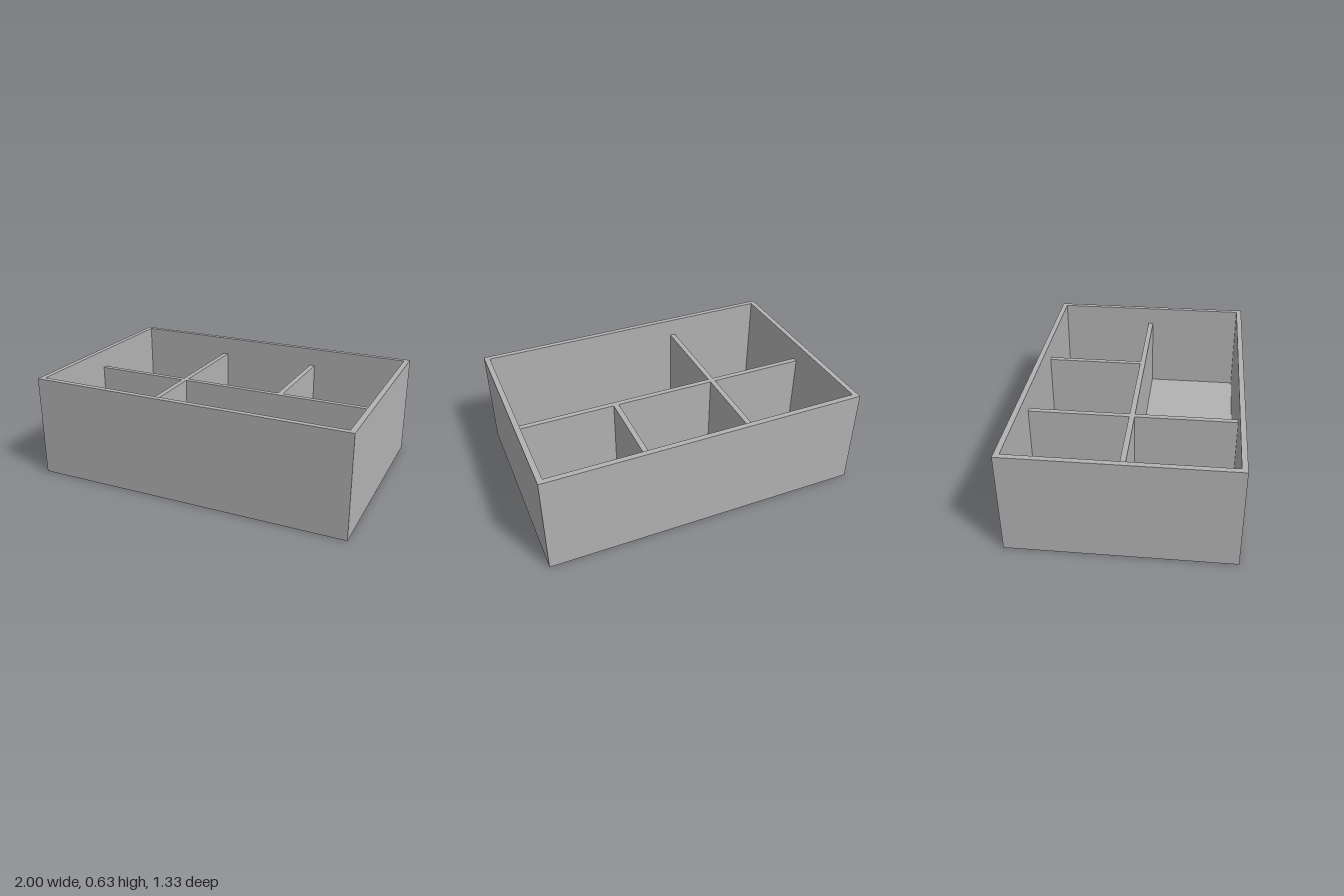
import * as THREE from 'three';

const W = 2, D = 1.333, H = 0.633; // outer size
const T = 0.033;                   // wall, floor and divider thickness
const DIVIDER_TOP = 0.515;         // dividers stop below the rim

export function createModel() {
  const group = new THREE.Group();
  const grey = new THREE.MeshStandardMaterial({ color: 0xb2b2b2 });
  grey.name = 'grey';

  const add = (name, geometry, x, y, z) => {
    const mesh = new THREE.Mesh(geometry, grey);
    mesh.name = name;
    mesh.position.set(x, y, z);
    group.add(mesh);
    return mesh;
  };

  const rectangle = (w, d, Kind) => new Kind([
    new THREE.Vector2(-w / 2, -d / 2), new THREE.Vector2(w / 2, -d / 2),
    new THREE.Vector2(w / 2, d / 2), new THREE.Vector2(-w / 2, d / 2),
  ]);

  // Four outer walls as one rectangular frame
  const frame = rectangle(W, D, THREE.Shape);
  frame.holes.push(rectangle(W - 2 * T, D - 2 * T, THREE.Path));
  const walls = new THREE.ExtrudeGeometry(frame, { depth: H, bevelEnabled: false });
  walls.rotateX(-Math.PI / 2);
  add('outerWalls', walls, 0, 0, 0);

  // Floor filling the frame
  add('floor', new THREE.BoxGeometry(W - 2 * T, T, D - 2 * T), 0, T / 2, 0);

  // Dividers standing on the floor
  const h = DIVIDER_TOP - T, y = T + h / 2;
  add('longDivider', new THREE.BoxGeometry(W - 2 * T, h, T), 0, y, 0);
  const bay = D / 2 - 1.5 * T;
  for (const [name, x, side] of [
    ['backRightDivider', -0.335, -1],
    ['backLeftDivider', 0.335, -1],
    ['frontDivider', -0.335, 1],
  ]) {
    add(name, new THREE.BoxGeometry(T, h, bay), x, y, side * (T / 2 + bay / 2));
  }

  return group;
}
